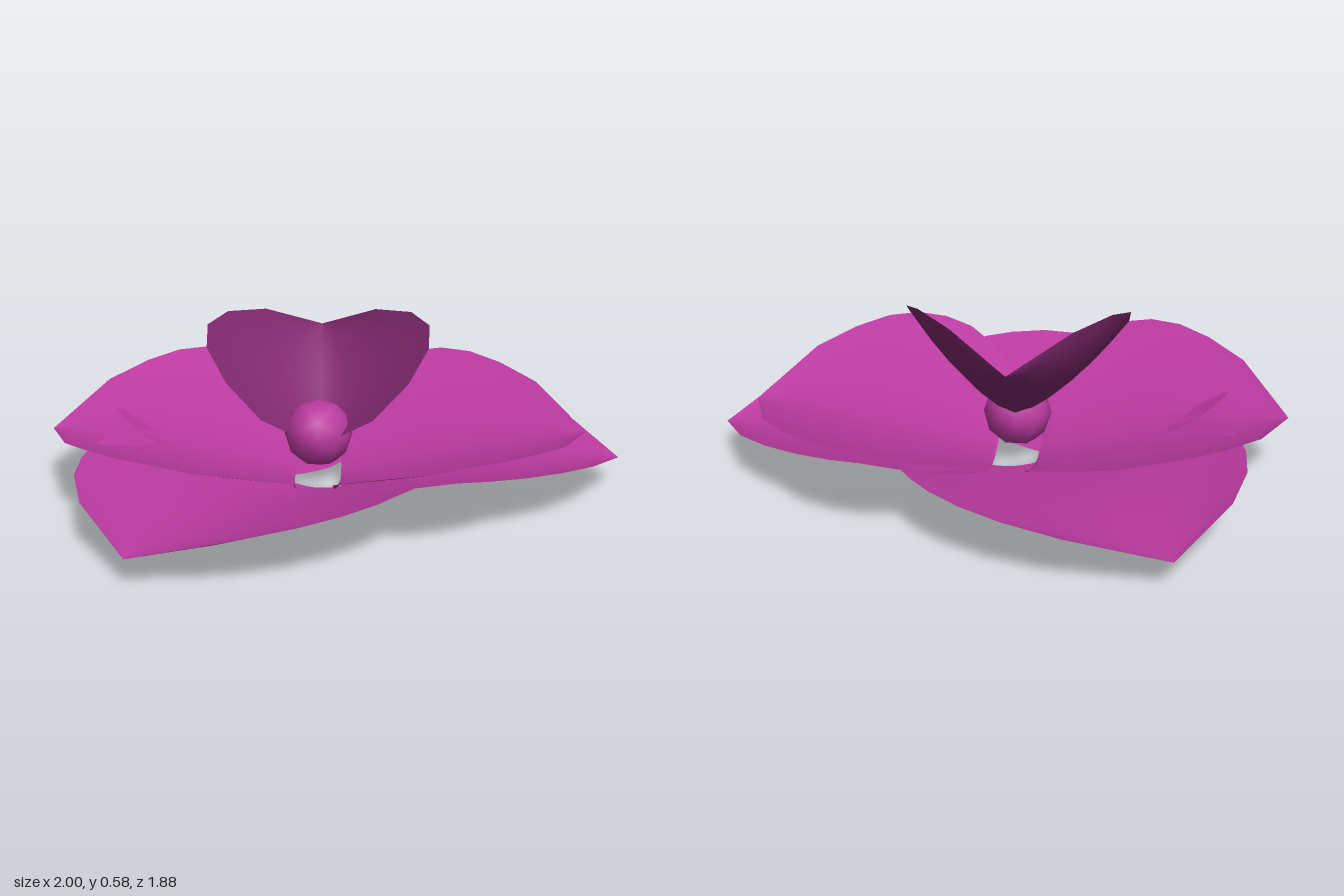
import * as THREE from 'three';

function makeMaterial(name, color) {
  const m = new THREE.MeshStandardMaterial({ color, side: THREE.DoubleSide });
  m.name = name;
  return m;
}
const magenta = makeMaterial('orchid magenta', 0xba3a9f);
const plum = makeMaterial('dark plum', 0x842a72);

// Each row is [centre u, centre y, edge u, edge half-width, edge y], base to tip.
// bend shapes the cross-section: 1 is a sharp V, 2 a round channel.
function petalGeometry(rows, bend) {
  const cols = 10, pos = [], index = [];
  for (const [cu, cy, eu, ev, ey] of rows) {
    for (let i = 0; i <= cols; i++) {
      const t = (i / cols) * 2 - 1, k = Math.abs(t) ** bend;
      pos.push(cu + (eu - cu) * k, cy + (ey - cy) * k, ev * t);
    }
  }
  for (let j = 0; j < rows.length - 1; j++) {
    for (let i = 0; i < cols; i++) {
      const a = j * (cols + 1) + i, b = a + 1, c = a + cols + 1, d = c + 1;
      index.push(a, b, c);
      if (j < rows.length - 2) index.push(b, d, c);
    }
  }
  const g = new THREE.BufferGeometry();
  g.setAttribute('position', new THREE.Float32BufferAttribute(pos, 3));
  g.setIndex(index);
  g.computeVertexNormals();
  return g;
}

const sepalRows = [
  [0.08, 0, 0.08, 0.09, 0.005],
  [0.13, 0.008, 0.07, 0.34, 0.09],
  [0.2, 0.018, 0.13, 0.45, 0.125],
  [0.28, 0.03, 0.22, 0.52, 0.155],
  [0.38, 0.046, 0.33, 0.555, 0.18],
  [0.48, 0.06, 0.45, 0.565, 0.2],
  [0.58, 0.071, 0.55, 0.548, 0.2],
  [0.7, 0.08, 0.67, 0.502, 0.195],
  [0.82, 0.086, 0.794, 0.424, 0.185],
  [0.94, 0.09, 0.92, 0.288, 0.16],
  [1.06, 0.092, 1.06, 0, 0.092],
];

const petalRows = [
  [0.08, 0.035, 0.08, 0.13, 0.045],
  [0.1, 0.041, 0.065, 0.32, 0.085],
  [0.13, 0.05, 0.06, 0.46, 0.15],
  [0.19, 0.064, 0.14, 0.59, 0.21],
  [0.28, 0.085, 0.25, 0.69, 0.26],
  [0.38, 0.107, 0.36, 0.73, 0.287],
  [0.48, 0.127, 0.47, 0.715, 0.305],
  [0.58, 0.145, 0.58, 0.66, 0.305],
  [0.69, 0.161, 0.69, 0.55, 0.29],
  [0.81, 0.175, 0.81, 0.38, 0.26],
  [0.94, 0.186, 0.94, 0, 0.186],
];

const lipRows = [
  [0.03, 0.16, -0.08, 0.08, 0.19],
  [0.07, 0.185, -0.155, 0.19, 0.27],
  [0.12, 0.215, -0.12, 0.31, 0.39],
  [0.18, 0.255, -0.06, 0.38, 0.5],
  [0.24, 0.305, 0.03, 0.385, 0.56],
  [0.31, 0.36, 0.14, 0.325, 0.582],
  [0.38, 0.415, 0.28, 0.2, 0.56],
  [0.45, 0.465, 0.45, 0, 0.465],
];

export function createModel() {
  const flower = new THREE.Group();
  flower.name = 'flower';
  const add = (name, geometry, material, angle = 0) => {
    const mesh = new THREE.Mesh(geometry, material);
    mesh.name = name;
    mesh.rotation.y = angle;
    mesh.position.x = -0.06;
    flower.add(mesh);
    return mesh;
  };

  // Three lower sepals around the centre
  const sepal = petalGeometry(sepalRows, 1.6);
  ['leftSepal', 'backSepal', 'frontSepal'].forEach((n, i) => add(n, sepal, magenta, (i * Math.PI * 2) / 3));

  // Two broad upper petals
  const petal = petalGeometry(petalRows, 1.6);
  add('leftPetal', petal, magenta);
  add('rightPetal', petal, magenta, Math.PI);

  // Upright folded lip, darker than the petals
  add('lip', petalGeometry(lipRows, 1.5), plum, Math.PI / 2);

  // Round centre
  const ball = add('centreBall', new THREE.IcosahedronGeometry(0.12, 1), magenta);
  ball.position.y = 0.175;
  ball.position.z = -0.005;
  return flower;
}
